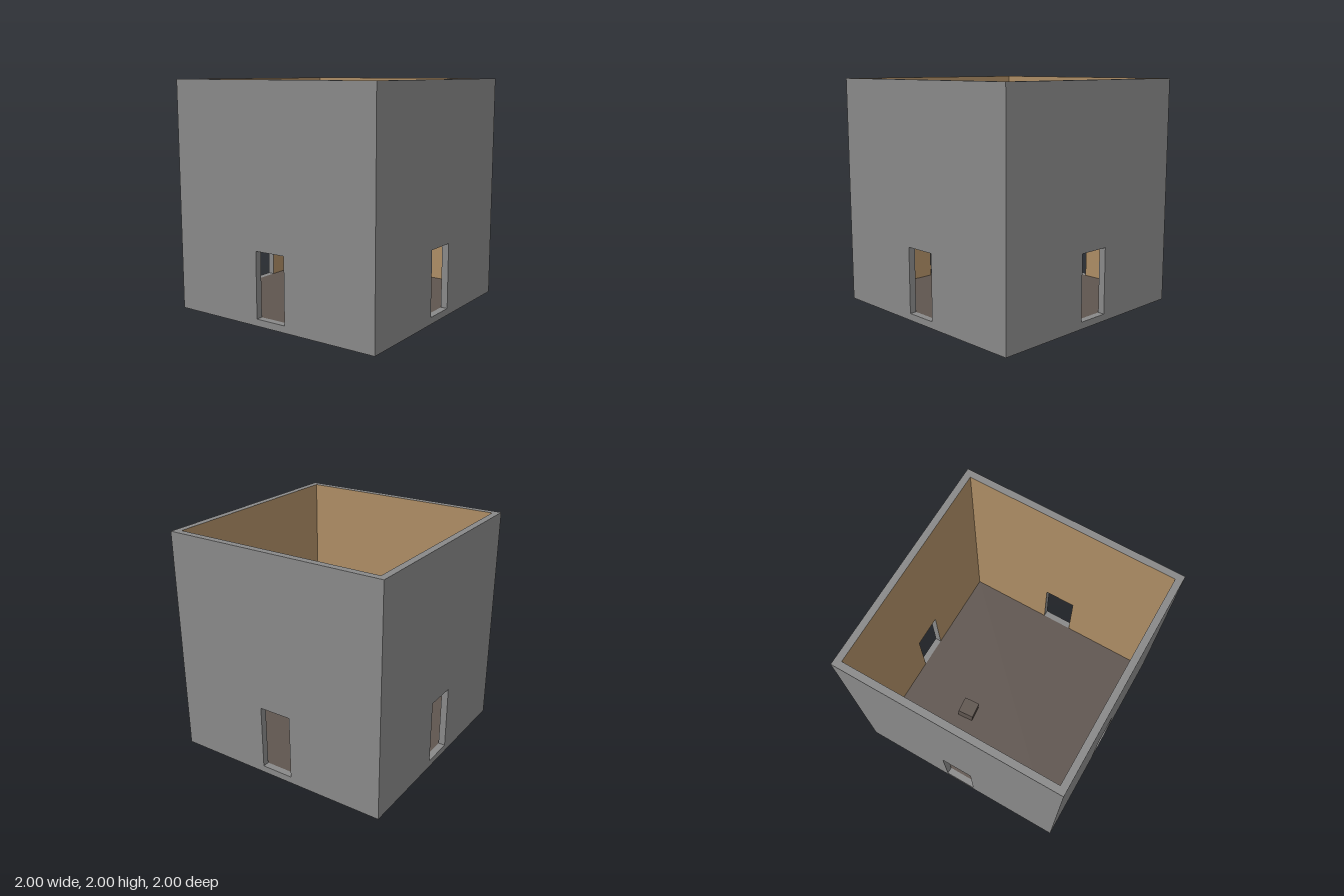
import * as THREE from 'three';

const OUT = 1, IN = 0.94, FLOOR = 0.06, TOP = 2, DOOR = 0.145, HEAD = 0.63;

// Closed polygon from a short point list
const poly = (Type, pts) => new Type(pts.map(([x, y]) => new THREE.Vector2(x, y)));

export function createModel() {
  const stone = new THREE.MeshStandardMaterial({ color: 0x888888 });
  stone.name = 'grey stone';
  const plaster = new THREE.MeshStandardMaterial({ color: 0xac8c64 });
  plaster.name = 'tan plaster';
  const earth = new THREE.MeshStandardMaterial({ color: 0x5f554f });
  earth.name = 'brown floor';

  const room = new THREE.Group();
  room.name = 'room';
  const add = (parent, name, geometry, material, x = 0, y = 0, z = 0) => {
    const mesh = new THREE.Mesh(geometry, material);
    mesh.name = name;
    mesh.position.set(x, y, z);
    parent.add(mesh);
    return mesh;
  };

  // Outer wall face with a doorway cut out
  const outer = poly(THREE.Shape, [[-OUT, 0], [OUT, 0], [OUT, TOP], [-OUT, TOP]]);
  outer.holes.push(poly(THREE.Path, [[-DOOR, FLOOR], [-DOOR, HEAD], [DOOR, HEAD], [DOOR, FLOOR]]));
  const outerGeo = new THREE.ShapeGeometry(outer);

  // Inner wall face, notched by the doorway down to the floor
  const innerGeo = new THREE.ShapeGeometry(poly(THREE.Shape, [
    [-IN, FLOOR], [-DOOR, FLOOR], [-DOOR, HEAD], [DOOR, HEAD],
    [DOOR, FLOOR], [IN, FLOOR], [IN, TOP], [-IN, TOP],
  ])).rotateY(Math.PI);

  // Linings of the doorway
  const depth = OUT - IN, mid = (OUT + IN) / 2;
  const sillGeo = new THREE.PlaneGeometry(2 * DOOR, depth).rotateX(-Math.PI / 2);
  const lintelGeo = new THREE.PlaneGeometry(2 * DOOR, depth).rotateX(Math.PI / 2);
  const jambGeo = new THREE.PlaneGeometry(depth, HEAD - FLOOR);

  // Four identical walls
  ['front', 'left', 'back', 'right'].forEach((side, i) => {
    const wall = new THREE.Group();
    wall.name = side + 'Wall';
    wall.rotation.y = i * Math.PI / 2;
    add(wall, 'outerFace', outerGeo, stone, 0, 0, OUT);
    add(wall, 'innerFace', innerGeo, plaster, 0, 0, IN);
    add(wall, 'doorSill', sillGeo, stone, 0, FLOOR, mid);
    add(wall, 'doorLintel', lintelGeo, stone, 0, HEAD, mid);
    for (const s of [-1, 1]) {
      const jamb = add(wall, 'doorJamb', jambGeo, stone, s * DOOR, (FLOOR + HEAD) / 2, mid);
      jamb.rotation.y = -s * Math.PI / 2;
    }
    room.add(wall);
  });

  // Flat rim on top of the walls
  const rim = poly(THREE.Shape, [[-OUT, -OUT], [OUT, -OUT], [OUT, OUT], [-OUT, OUT]]);
  rim.holes.push(poly(THREE.Path, [[-IN, -IN], [-IN, IN], [IN, IN], [IN, -IN]]));
  add(room, 'wallRim', new THREE.ShapeGeometry(rim).rotateX(-Math.PI / 2), stone, 0, TOP, 0);

  // Floor and underside
  add(room, 'floor', new THREE.PlaneGeometry(2 * IN, 2 * IN).rotateX(-Math.PI / 2), earth, 0, FLOOR, 0);
  add(room, 'underside', new THREE.PlaneGeometry(2 * OUT, 2 * OUT).rotateX(Math.PI / 2), stone);

  // Small tilted block lying on the floor
  const block = add(room, 'block', new THREE.BoxGeometry(0.15, 0.15, 0.15), earth, -0.36, FLOOR + 0.08, -0.29);
  block.rotation.set(0.1, 0.09, 0, 'YXZ');

  return room;
}
